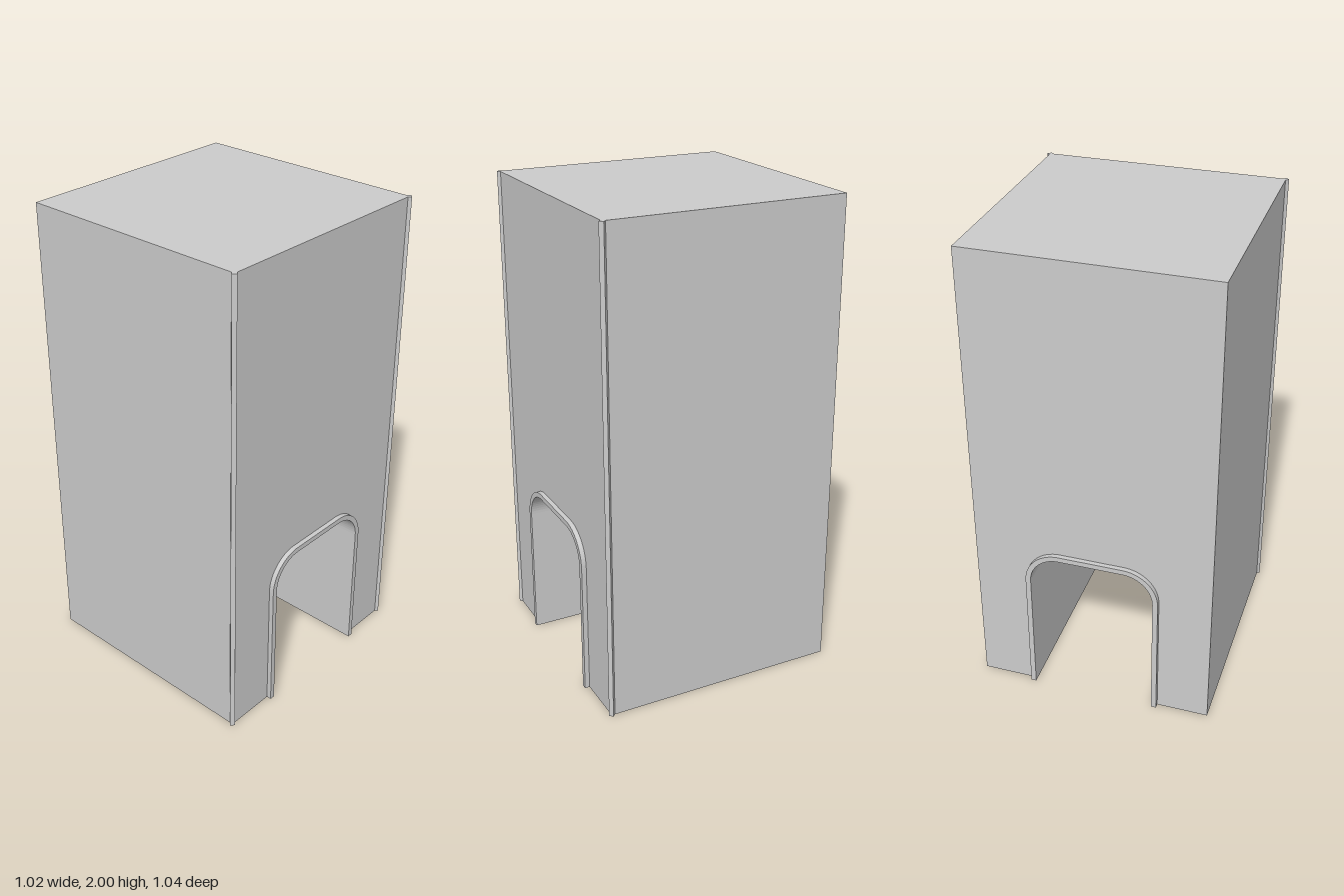
import * as THREE from 'three';

const material = new THREE.MeshStandardMaterial({ color: 0xcccccc, flatShading: true });
const HALF = 0.5, HEIGHT = 2, REACH = 0.52;
const CX = 0.135, CY = 0.56; // centres of the archway's rounded corners
const INNER = 0.125, OUTER = 0.147;

// Trace the archway from its left foot over the top to its right foot
function traceArch(path, r) {
  path.lineTo(-CX - r, 0);
  path.lineTo(-CX - r, CY);
  path.absarc(-CX, CY, r, Math.PI, Math.PI / 2, true);
  path.lineTo(CX, CY + r);
  path.absarc(CX, CY, r, Math.PI / 2, 0, true);
  path.lineTo(CX + r, 0);
}

function extrude(name, shape, depth, z) {
  const geometry = new THREE.ExtrudeGeometry(shape, { depth, bevelEnabled: false, curveSegments: 8 });
  const mesh = new THREE.Mesh(geometry.translate(0, 0, z), material);
  mesh.name = name;
  return mesh;
}

export function createModel() {
  const group = new THREE.Group();
  group.name = 'archedBlock';

  // Tall block with a passage from front to back
  const block = new THREE.Shape();
  block.moveTo(-HALF, 0);
  traceArch(block, INNER);
  block.lineTo(HALF, 0);
  block.lineTo(HALF, HEIGHT);
  block.lineTo(-HALF, HEIGHT);
  block.closePath();
  group.add(extrude('block', block, 2 * HALF, -HALF));

  // Raised frame around each mouth of the passage
  const frame = new THREE.Shape();
  frame.moveTo(-CX - OUTER, 0);
  traceArch(frame, OUTER);
  frame.lineTo(CX + INNER, 0);
  frame.lineTo(CX + INNER, CY);
  frame.absarc(CX, CY, INNER, 0, Math.PI / 2, false);
  frame.lineTo(-CX, CY + INNER);
  frame.absarc(-CX, CY, INNER, Math.PI / 2, Math.PI, false);
  frame.lineTo(-CX - INNER, 0);
  frame.closePath();
  group.add(extrude('frontArchFrame', frame, REACH - HALF, HALF));
  group.add(extrude('backArchFrame', frame, REACH - HALF, -REACH));

  // Diamond-section strips on the two front corners
  for (const side of [-1, 1]) {
    const strip = new THREE.Mesh(new THREE.CylinderGeometry(0.0135, 0.0135, HEIGHT, 4), material);
    strip.position.set(side * 0.4985, HEIGHT / 2, 0.4975);
    strip.name = side > 0 ? 'leftCornerStrip' : 'rightCornerStrip';
    group.add(strip);
  }
  return group;
}
